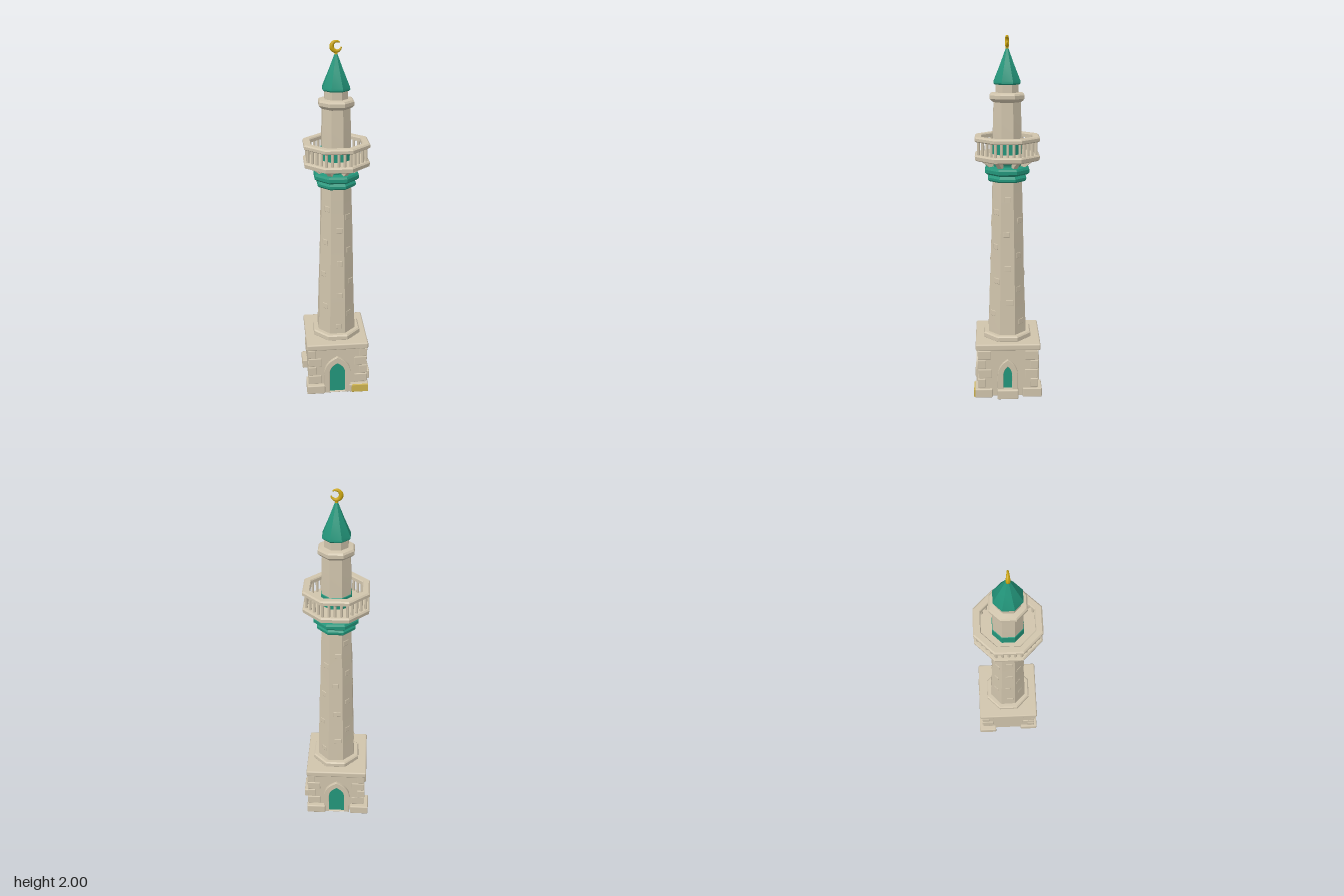
import * as THREE from 'three';
import { toCreasedNormals } from 'three/addons/utils/BufferGeometryUtils.js';
import { RoundedBoxGeometry } from 'three/addons/geometries/RoundedBoxGeometry.js';

const C8 = Math.cos(Math.PI / 8);

export function createModel() {
  const root = new THREE.Group();
  root.name = 'tower';
  const mat = (name, color) => {
    const m = new THREE.MeshStandardMaterial({ color });
    m.name = name;
    return m;
  };
  const stone = mat('sandstone', 0xd0c4ac);
  const teal = mat('teal', 0x23967b);
  const gold = mat('gold', 0xc9a411);
  const paleGold = mat('pale gold', 0xcfb450);

  let seed = 7;
  const rnd = () => (seed = (seed * 16807) % 2147483647) / 2147483647;

  const add = (name, geo, m, parent = root) => {
    const mesh = new THREE.Mesh(geo, m);
    mesh.name = name;
    parent.add(mesh);
    return mesh;
  };
  const group = (name, parent = root) => {
    const g = new THREE.Group();
    g.name = name;
    parent.add(g);
    return g;
  };
  // Eight-sided turned part; each pair is [distance to the flat, height]
  const octagon = (name, pairs, m, rule) => {
    const pts = pairs.map(([a, y]) => new THREE.Vector2(a / C8, y));
    const g = new THREE.LatheGeometry(pts, 8, Math.PI / 8);
    if (rule) rule(g.attributes.position);
    return add(name, toCreasedNormals(g, 0.35), m);
  };
  // Block given by its low and high corners
  const block = (name, x0, x1, y0, y1, z0, z1, m = stone, parent = root, r = 0.006) => {
    const g = new RoundedBoxGeometry(x1 - x0, y1 - y0, z1 - z0, 1, r);
    const b = add(name, g, m, parent);
    b.position.set((x0 + x1) / 2, (y0 + y1) / 2, (z0 + z1) / 2);
    return b;
  };

  // Square base, plinth stones and cap slab
  const base = group('base');
  block('baseBody', -0.17, 0.16, 0.004, 0.3, -0.167, 0.163, stone, base);
  block('capSlab', -0.183, 0.17, 0.288, 0.325, -0.184, 0.18, stone, base, 0.008);
  block('plinthBackRight', -0.199, -0.09, 0, 0.056, -0.193, -0.085, stone, base);
  block('plinthFrontRight', -0.185, -0.08, 0, 0.055, 0.08, 0.187, stone, base);
  block('plinthBackLeft', 0.06, 0.17, 0, 0.055, -0.194, -0.085, stone, base);
  block('plinthFrontLeft', 0.06, 0.173, 0, 0.053, 0.085, 0.187, stone, base);
  block('goldCornerStone', 0.075, 0.172, 0.003, 0.052, 0.175, 0.191, paleGold, base, 0.003);
  block('windowSill', 0.14, 0.196, 0, 0.056, -0.06, 0.06, stone, base);

  // Corner stones in alternating courses
  const corners = group('cornerStones', base);
  for (const sx of [-1, 1]) for (const sz of [-1, 1]) for (let i = 0; i < 4; i++) {
    const lx = i % 2 ? 0.045 : 0.075, lz = i % 2 ? 0.075 : 0.045;
    const out = 0.167 + 0.005 * rnd();
    const y = 0.06 + i * 0.057;
    const b = block('cornerStone', 0, lx, y, y + 0.053, 0, lz, stone, corners, 0.004);
    b.position.x = sx * (out - lx / 2) - 0.005;
    b.position.z = sz * (out - lz / 2) - 0.002;
  }

  // Pointed arch outline
  const arch = (S, w, y0, spring, top) => {
    const s = new S();
    s.moveTo(-w, y0);
    s.lineTo(w, y0);
    s.lineTo(w, spring);
    s.quadraticCurveTo(w, spring + (top - spring) * 0.65, 0, top);
    s.quadraticCurveTo(-w, spring + (top - spring) * 0.65, -w, spring);
    s.closePath();
    return s;
  };
  // Framed opening, turned to face one side of the base
  const opening = (name, turn, dist, off, w, y0, spring, top, rim) => {
    const g = group(name, base);
    const frame = arch(THREE.Shape, w + rim, 0.002, spring, top + rim * 1.3);
    frame.holes.push(arch(THREE.Path, w, y0, spring, top));
    const fg = new THREE.ExtrudeGeometry(frame, {
      depth: 0.014, bevelSize: 0.002, bevelThickness: 0.002, bevelSegments: 1, curveSegments: 8,
    });
    add('archFrame', toCreasedNormals(fg, 0.5), stone, g).position.set(off, 0, dist);
    const panel = new THREE.ExtrudeGeometry(arch(THREE.Shape, w, y0, spring, top), {
      depth: 0.005, bevelEnabled: false, curveSegments: 8,
    });
    add('archPanel', panel, teal, g).position.set(off, 0, dist);
    g.rotation.y = turn;
  };
  opening('frontDoor', 0, 0.163, -0.008, 0.047, 0.004, 0.13, 0.2, 0.028);
  opening('backDoor', Math.PI, 0.167, 0.008, 0.047, 0.004, 0.13, 0.2, 0.028);
  opening('sideWindow', Math.PI / 2, 0.16, 0, 0.027, 0.058, 0.135, 0.195, 0.028);

  // Step under the shaft
  octagon('shaftStep', [[0, 0.32], [0.13, 0.32], [0.133, 0.327], [0.132, 0.348], [0.125, 0.355], [0, 0.355]], stone);

  // Tapered shaft with slightly uneven courses
  const apothem = (y) => 0.105 - 0.026 * (y - 0.35) / 0.89;
  const rows = [];
  for (let i = 0; i <= 20; i++) {
    const y = 0.35 + i * 0.0445;
    rows.push([apothem(y), y]);
  }
  octagon('shaft', rows, stone, (p) => {
    for (let i = 0; i < p.count; i++) {
      const k = i % rows.length, c = Math.floor(i / rows.length) % 8;
      const s = 1 + 0.012 * Math.sin(k * 12.9 + c * 78.2);
      p.setX(i, p.getX(i) * s);
      p.setZ(i, p.getZ(i) * s);
    }
  });

  // Raised stones scattered on the shaft
  const stones = group('raisedStones');
  for (let i = 0; i < 32; i++) {
    const y = 0.4 + 0.0245 * i, a = ((i * 3) % 8) * Math.PI / 4;
    const side = (rnd() - 0.5) * 0.03, d = apothem(y) - 0.0015;
    const w = 0.03 + 0.015 * rnd();
    const b = add('raisedStone', new RoundedBoxGeometry(w, 0.032, 0.008, 1, 0.003), stone, stones);
    b.position.set(d * Math.sin(a) + side * Math.cos(a), y, d * Math.cos(a) - side * Math.sin(a));
    b.rotation.set(-0.03, a, 0, 'YXZ');
  }

  // Teal mouldings below the balcony
  octagon('lowerRing', [[0.075, 1.228], [0.096, 1.23], [0.103, 1.238], [0.103, 1.25], [0.096, 1.258], [0.09, 1.268]], teal);
  octagon('upperRing', [[0.088, 1.262], [0.108, 1.268], [0.119, 1.278], [0.119, 1.295], [0.112, 1.306], [0.085, 1.312]], teal);
  octagon('balconyCore', [[0.08, 1.305], [0.084, 1.325], [0.105, 1.35]], teal);

  // Brackets under the balcony corners
  const brackets = group('brackets');
  const bs = new THREE.Shape([[0.07, 1.308], [0.108, 1.308], [0.128, 1.325], [0.163, 1.35], [0.07, 1.35]]
    .map(([x, y]) => new THREE.Vector2(x, y)));
  const bg = new THREE.ExtrudeGeometry(bs, { depth: 0.024, bevelEnabled: false }).translate(0, 0, -0.012);
  for (let i = 0; i < 8; i++) add('bracket', bg, stone, brackets).rotation.y = (i + 0.5) * Math.PI / 4;

  // Balcony floor, rail and balusters
  octagon('balconyFloor', [[0.07, 1.343], [0.158, 1.343], [0.172, 1.35], [0.174, 1.369], [0.168, 1.377], [0.07, 1.377]], stone);
  octagon('balconyRail', [[0.135, 1.45], [0.165, 1.446], [0.174, 1.452], [0.174, 1.467], [0.167, 1.474], [0.139, 1.474], [0.135, 1.468], [0.135, 1.45]], stone);
  const balusters = group('balusters');
  const post = new THREE.CylinderGeometry(0.0075, 0.0075, 0.078, 8);
  for (let i = 0; i < 8; i++) for (let j = 0; j < 4; j++) {
    const a = i * Math.PI / 4, d = 0.154, t = (j / 4 - 0.5) * 2 * d * Math.tan(Math.PI / 8);
    add('baluster', post, stone, balusters)
      .position.set(d * Math.sin(a) + t * Math.cos(a), 1.411, d * Math.cos(a) - t * Math.sin(a));
  }

  // Upper tower with teal band, collar and neck
  octagon('tealBand', [[0.076, 1.37], [0.08, 1.375], [0.08, 1.44], [0.074, 1.446]], teal);
  octagon('upperTower', [[0.077, 1.37], [0.077, 1.5], [0.074, 1.6], [0.072, 1.67]], stone);
  octagon('collar', [[0.07, 1.652], [0.082, 1.66], [0.092, 1.672], [0.092, 1.69], [0.085, 1.699], [0.055, 1.704]], stone);
  octagon('neck', [[0.061, 1.69], [0.06, 1.765]], stone);

  // Pointed roof
  octagon('roof', [[0, 1.752], [0.064, 1.745], [0.071, 1.752], [0.07, 1.764], [0.036, 1.85], [0.008, 1.927], [0, 1.93]], teal);

  // Crescent finial, thinning towards its tips
  const R = 0.0225, arc = 5.1;
  const crescent = new THREE.TorusGeometry(R, 0.0115, 10, 28, arc);
  const p = crescent.attributes.position;
  for (let i = 0; i < p.count; i++) {
    const x = p.getX(i), y = p.getY(i), u = (i % 29) / 28;
    const f = 0.35 + 0.65 * Math.sin(Math.PI * u);
    const l = Math.hypot(x, y), r = R + 0.006 * (1 - f) + (l - R) * f;
    p.setXYZ(i, x * r / l, y * r / l, p.getZ(i) * f);
  }
  crescent.computeVertexNormals();
  const finial = group('finial');
  const c = add('crescent', crescent, gold, finial);
  c.position.set(0, 1.966, 0);
  c.rotation.z = 0.95;
  for (const u of [0, arc]) {
    add('crescentTip', new THREE.SphereGeometry(0.0042, 8, 6), gold, c)
      .position.set(0.0264 * Math.cos(u), 0.0264 * Math.sin(u), 0);
  }
  add('finialStem', new THREE.CylinderGeometry(0.006, 0.009, 0.025, 8), gold, finial).position.y = 1.929;

  return root;
}
